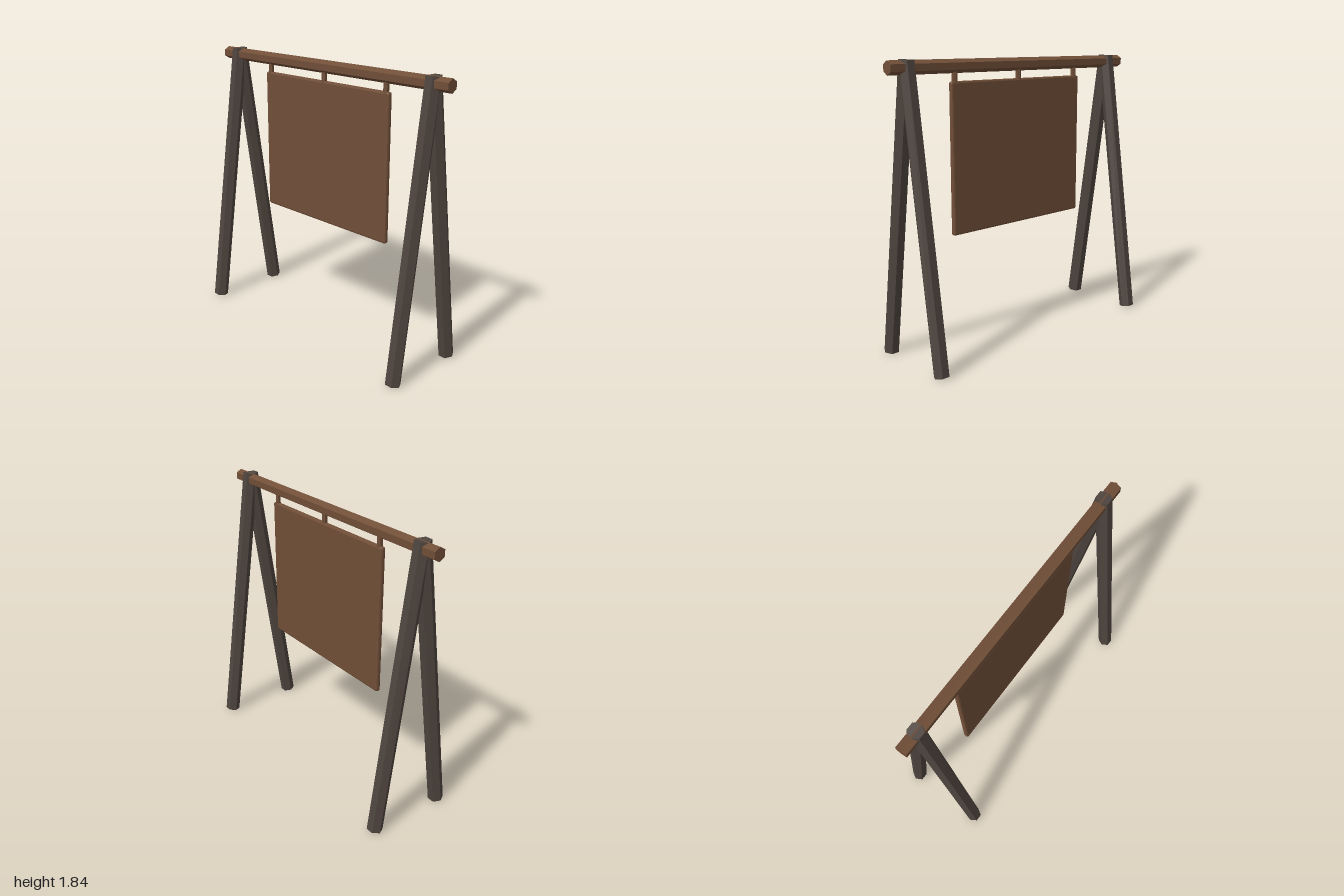
import * as THREE from 'three';
import { RoundedBoxGeometry } from 'three/addons/geometries/RoundedBoxGeometry.js';

export function createModel() {
  const model = new THREE.Group();
  model.name = 'hangingSign';

  const darkWood = new THREE.MeshStandardMaterial({ color: 0x4e443e, flatShading: true });
  darkWood.name = 'darkWood';
  const brownWood = new THREE.MeshStandardMaterial({ color: 0x704e37, flatShading: true });
  brownWood.name = 'brownWood';

  const add = (name, geometry, material, x, y, z) => {
    const mesh = new THREE.Mesh(geometry, material);
    mesh.name = name;
    mesh.position.set(x, y, z);
    model.add(mesh);
    return mesh;
  };
  const hexPost = (radius, length, turn = 0) =>
    new THREE.CylinderGeometry(radius, radius, length, 6, 1, false, turn);

  // A-frame legs: each pair leans together and meets at the beam
  const spread = 0.26, bottom = 0.006, top = 1.834;
  const legLength = Math.hypot(spread, top - bottom);
  const lean = Math.atan2(spread, top - bottom);
  for (const [side, sx] of [['left', 1], ['right', -1]]) {
    for (const [end, sz] of [['Front', 1], ['Back', -1]]) {
      const leg = add(side + end + 'Leg', hexPost(0.05, legLength, Math.PI / 6), darkWood,
        sx * 0.87, (top + bottom) / 2, sz * spread / 2);
      leg.rotation.x = -sz * lean;
    }
  }

  // Crossbeam, with an edge along its top
  const beam = add('crossbeam', hexPost(0.042, 2, Math.PI / 6), brownWood, 0, 1.795, 0);
  beam.rotation.z = Math.PI / 2;

  // Sign board with chamfered edges
  add('signBoard', new RoundedBoxGeometry(1.12, 0.95, 0.034, 1, 0.012), brownWood, 0, 1.23, 0);

  // Short hangers between beam and board
  for (const x of [-0.525, 0, 0.525]) {
    add('hanger', hexPost(0.018, 0.1), brownWood, x, 1.735, 0);
  }

  return model;
}
